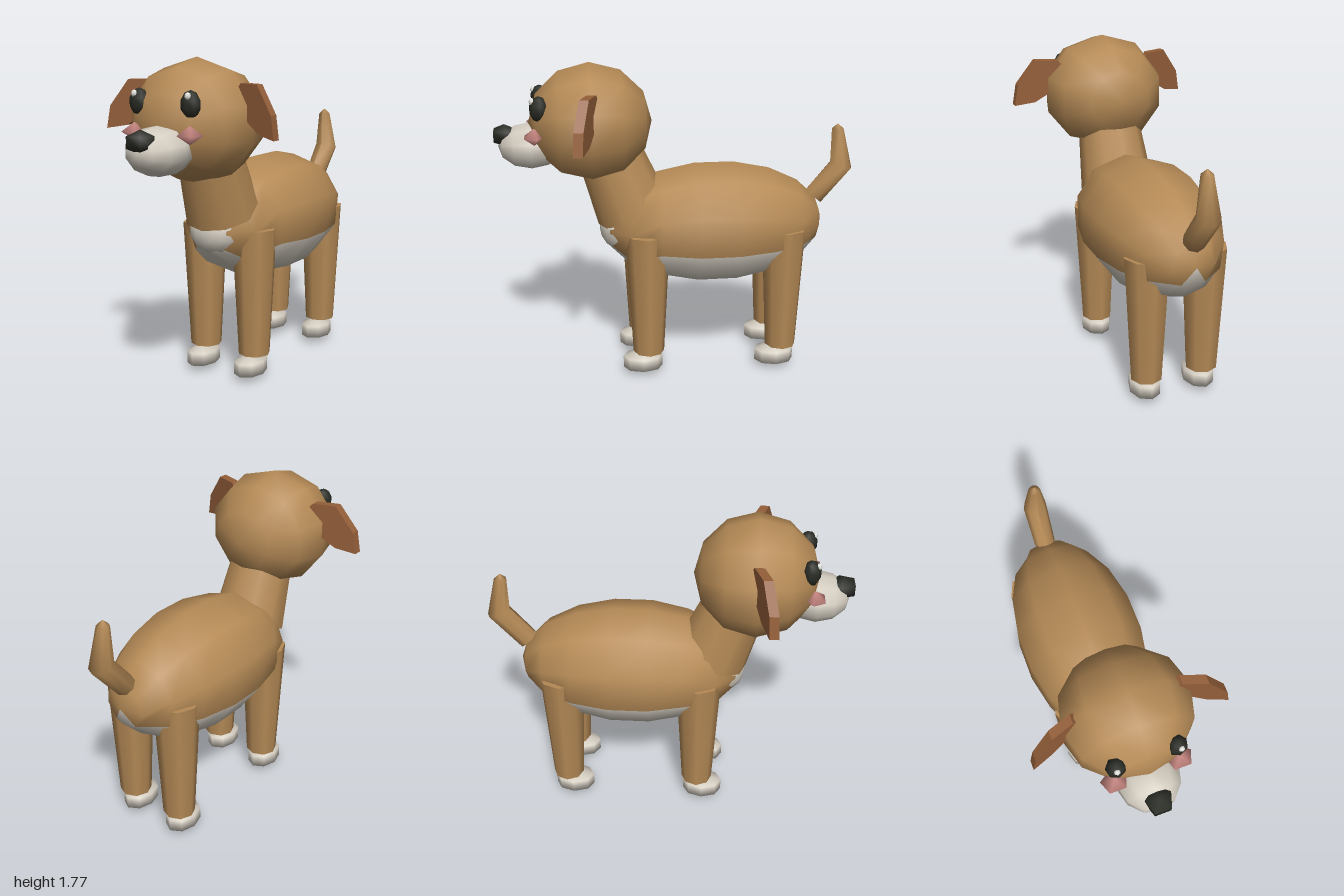
import * as THREE from 'three';

const mat = (name, color, side = THREE.FrontSide) => {
  const m = new THREE.MeshStandardMaterial({ color, side });
  m.name = name;
  return m;
};
const tan = mat('tan fur', 0xb58a56);
const brown = mat('brown ear', 0x945f3a);
const cream = mat('cream fur', 0xd3ccc0);
const black = mat('black', 0x2a2c25);
const pink = mat('pink', 0xcf8c86);
const white = mat('eye shine', 0xe8e8e4);

// Low-sided ellipsoid; alongZ puts its poles on the z axis
function blob(size, segs, rings, alongZ = false, start = Math.PI / 2) {
  const geo = new THREE.SphereGeometry(1, segs, rings, start);
  if (alongZ) geo.rotateX(Math.PI / 2);
  return geo.scale(...size);
}

// Half-angle of the cream belly on each ring, from the chest to the rump
const BELLY = [40, 40, 45, 72, 73, 73, 71, 64, 33, 0];

// Part of the torso ellipsoid, either the belly or the coat above it
function torso(isBelly) {
  const segs = isBelly ? 4 : 6;
  const geo = new THREE.SphereGeometry(1, segs, 9);
  const pos = geo.attributes.position;
  for (let i = 0; i < pos.count; i++) {
    const row = Math.floor(i / (segs + 1)), u = (i % (segs + 1)) / segs;
    const span = THREE.MathUtils.degToRad(BELLY[row]);
    const a = isBelly ? span * (2 * u - 1) : span + u * 2 * (Math.PI - span);
    const theta = row / 9 * Math.PI, r = Math.sin(theta);
    pos.setXYZ(i, r * Math.sin(a), -r * Math.cos(a), Math.cos(theta));
    geo.attributes.normal.setXYZ(i, pos.getX(i), pos.getY(i), pos.getZ(i));
  }
  return geo.scale(0.357, 0.35, 0.63);
}

// Bent tail: rows of [y, z, radius, tilt], from tip to base
function tailGeometry() {
  const rows = [
    [1.4, -0.908, 0, 0], [1.37, -0.908, 0.034, 0], [1.16, -0.937, 0.066, 0.3],
    [0.98, -0.785, 0.06, 0.73], [0.98, -0.785, 0, 0.73],
  ];
  const geo = new THREE.CylinderGeometry(1, 1, 1, 8, rows.length - 1, true);
  const pos = geo.attributes.position;
  for (let i = 0; i < pos.count; i++) {
    const [y, z, r, tilt] = rows[Math.floor(i / 9)];
    const x = pos.getX(i), d = pos.getZ(i) * r;
    pos.setXYZ(i, x * r, y + d * Math.sin(tilt), z + d * Math.cos(tilt));
  }
  geo.computeVertexNormals();
  return geo;
}

// Flat floppy ear, swept forward towards its tip
function earGeometry(side) {
  const outline = [[0.25, 1.62], [0.28, 1.652], [0.4, 1.652], [0.5, 1.51],
    [0.52, 1.39], [0.41, 1.41], [0.32, 1.47]];
  const shape = new THREE.Shape(outline.map(([x, y]) => new THREE.Vector2(x * side, y)));
  const geo = new THREE.ExtrudeGeometry(shape, { depth: 0.05, bevelEnabled: false });
  const pos = geo.attributes.position;
  for (let i = 0; i < pos.count; i++) {
    const out = Math.abs(pos.getX(i));
    pos.setZ(i, pos.getZ(i) + 0.46 + (out - 0.3) * 0.34);
  }
  geo.computeVertexNormals();
  return geo;
}

export function createModel() {
  const dog = new THREE.Group();
  dog.name = 'dog';
  const add = (name, geo, material, x = 0, y = 0, z = 0) => {
    const mesh = new THREE.Mesh(geo, material);
    mesh.name = name;
    mesh.position.set(x, y, z);
    dog.add(mesh);
    return mesh;
  };

  // Torso
  add('coat', torso(false), tan, 0, 0.855, -0.2);
  add('belly', torso(true), cream, 0, 0.855, -0.2);
  add('chest', blob([0.15, 0.13, 0.115], 10, 8, true), cream, 0, 0.84, 0.33);
  const neck = add('neck', new THREE.CylinderGeometry(0.17, 0.21, 0.45, 10), tan, 0, 1.145, 0.332);
  neck.rotation.x = 0.357;
  add('tail', tailGeometry(), tan);

  // Head
  add('head', blob([0.355, 0.325, 0.335], 10, 6, true), tan, 0, 1.45, 0.48);
  add('muzzle', blob([0.17, 0.128, 0.18], 10, 6, true), cream, 0, 1.33, 0.8);
  add('nose', blob([0.083, 0.06, 0.081], 5, 3, false, Math.PI * 0.7), black, 0, 1.39, 0.943);

  for (const side of [1, -1]) {
    const label = side > 0 ? 'left' : 'right';
    add(label + 'Ear', earGeometry(side), brown);
    add(label + 'Eye', blob([0.053, 0.07, 0.05], 7, 5), black, side * 0.157, 1.56, 0.75);
    add(label + 'EyeShine', blob([0.017, 0.02, 0.016], 6, 4), white, side * 0.163, 1.602, 0.783);
    add(label + 'Cheek', blob([0.073, 0.046, 0.062], 5, 2, false, Math.PI * 0.7), pink,
      side * 0.17, 1.415, 0.78);

    // Legs and paws: [name, leg z, paw z]
    for (const [end, z, pawZ] of [['Front', 0.188, 0.222], ['Hind', -0.58, -0.545]]) {
      add(label + end + 'Leg', new THREE.CylinderGeometry(0.125, 0.088, 0.715, 8), tan,
        side * 0.163, 0.4925, z);
      add(label + end + 'Paw', blob([0.095, 0.07, 0.13], 8, 3), cream, side * 0.16, 0.07, pawZ);
    }
  }
  return dog;
}
